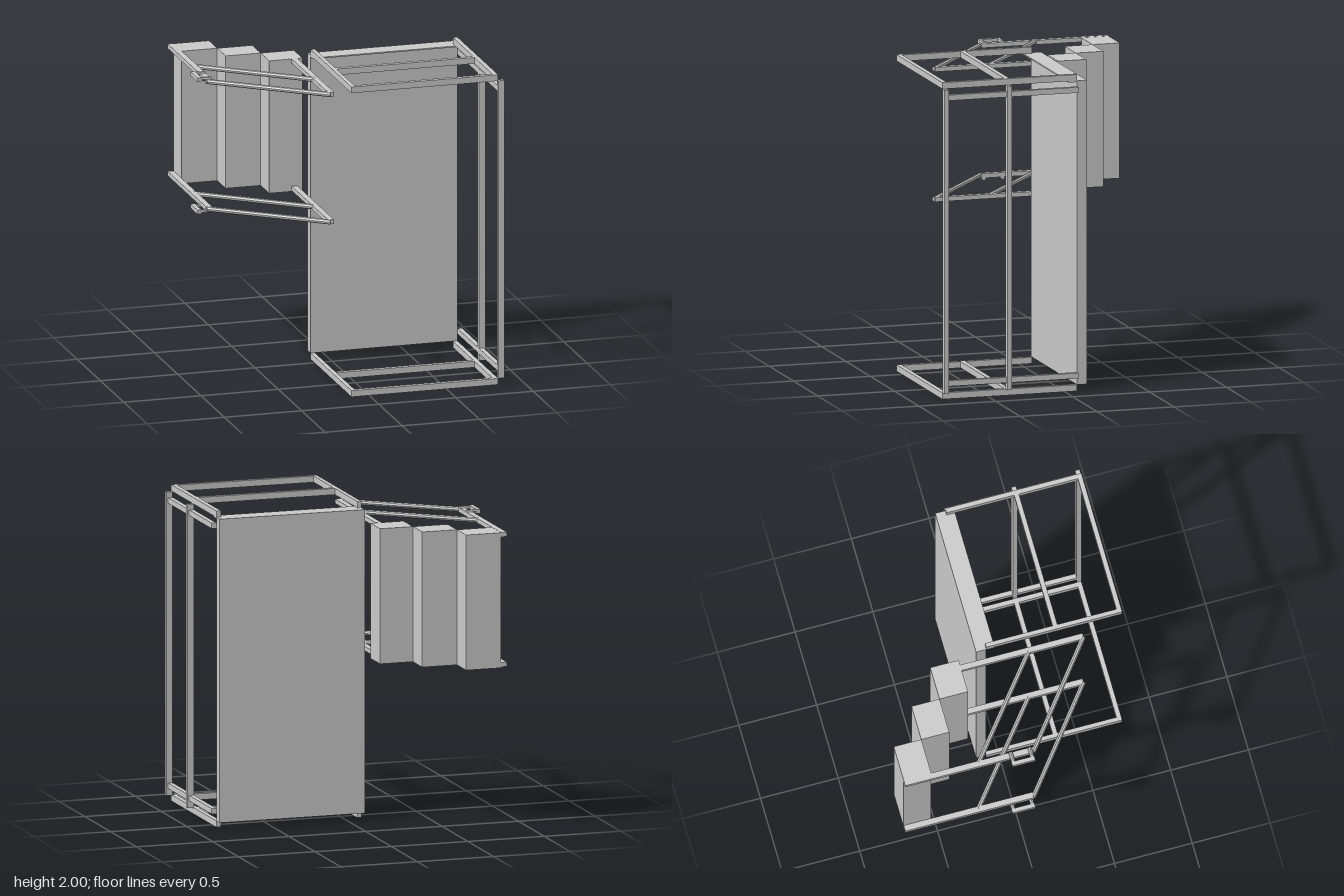
import * as THREE from 'three';

const grey = new THREE.MeshStandardMaterial({ color: 0xcccccc, flatShading: true });

export function createModel() {
  const model = new THREE.Group();

  // Box given by its minimum and maximum on each axis
  function box(parent, name, [x0, x1], [y0, y1], [z0, z1]) {
    const mesh = new THREE.Mesh(new THREE.BoxGeometry(x1 - x0, y1 - y0, z1 - z0), grey);
    mesh.position.set((x0 + x1) / 2, (y0 + y1) / 2, (z0 + z1) / 2);
    mesh.name = name;
    parent.add(mesh);
  }

  // Round bar between two points
  function bar(parent, name, a, b, radius) {
    const from = new THREE.Vector3(...a), to = new THREE.Vector3(...b);
    const dir = to.clone().sub(from);
    const mesh = new THREE.Mesh(new THREE.CylinderGeometry(radius, radius, dir.length(), 8), grey);
    mesh.position.copy(from).add(to).multiplyScalar(0.5);
    mesh.quaternion.setFromUnitVectors(new THREE.Vector3(0, 1, 0), dir.normalize());
    mesh.name = name;
    parent.add(mesh);
  }

  // Tall platform slab with a thin flange along its upper edge
  const platform = new THREE.Group();
  platform.name = 'platform';
  model.add(platform);
  box(platform, 'slab', [-0.115, 0.835], [0.04, 1.96], [-0.145, -0.08]);
  box(platform, 'flange', [-0.115, 0.835], [1.952, 1.96], [-0.08, -0.025]);

  // Matching frames at both ends of the slab
  for (const [end, y] of [['lower', 0], ['upper', 1.96]]) {
    const frame = new THREE.Group();
    frame.name = end + 'Frame';
    model.add(frame);
    const height = [y, y + 0.04];
    box(frame, 'leftSideRail', [0.805, 0.835], height, [-0.08, 0.795]);
    box(frame, 'rightSideRail', [-0.115, -0.088], height, [-0.08, 0.795]);
    box(frame, 'frontRail', [-0.088, 0.805], height, [0.765, 0.795]);
    box(frame, 'middleRail', [-0.088, 0.805], height, [0.355, 0.385]);
  }

  // Side panel: two posts joined by two long bars
  const side = new THREE.Group();
  side.name = 'sideRailing';
  model.add(side);
  for (const z of [0.765, 0.355]) {
    box(side, 'post', [0.835, 0.875], [0.04, 1.96], [z, z + 0.03]);
  }
  for (const y of [0.085, 1.89]) {
    box(side, 'longBar', [0.835, 0.865], [y, y + 0.035], [-0.08, 0.765]);
  }

  // Three stepped blocks
  const steps = new THREE.Group();
  steps.name = 'steps';
  model.add(steps);
  const xs = [-0.787, -0.557, -0.33, -0.115];
  const zs = [-0.797, -0.62, -0.44, -0.257];
  for (let i = 0; i < 3; i++) {
    box(steps, 'step', [xs[i], xs[i + 1]], [1.04, 1.895], [zs[i], zs[i + 1]]);
  }

  // Handrails on both ends of the steps, each with a bracket
  for (const [end, y, hookY] of [['lower', 1.06, 1.042], ['upper', 1.882, 1.896]]) {
    const rail = new THREE.Group();
    rail.name = end + 'Handrail';
    model.add(rail);
    const height = [y - 0.014, y + 0.014];
    box(rail, 'outerRail', [-0.825, -0.787], height, [-0.797, 0.03]);
    box(rail, 'innerRail', [-0.185, -0.148], height, [-0.257, 0.53]);
    bar(rail, 'diagonalBar', [-0.8, y, -0.32], [-0.17, y, 0.178], 0.016);
    bar(rail, 'diagonalBar', [-0.815, y, 0.03], [-0.17, y, 0.53], 0.016);
    for (const z of [-0.11, 0.012]) {
      bar(rail, 'bracketArm', [-0.865, hookY, z], [-0.788, hookY, z], 0.013);
    }
    box(rail, 'bracketEnd', [-0.88, -0.853], [hookY - 0.013, hookY + 0.013], [-0.123, 0.025]);
  }

  return model;
}
